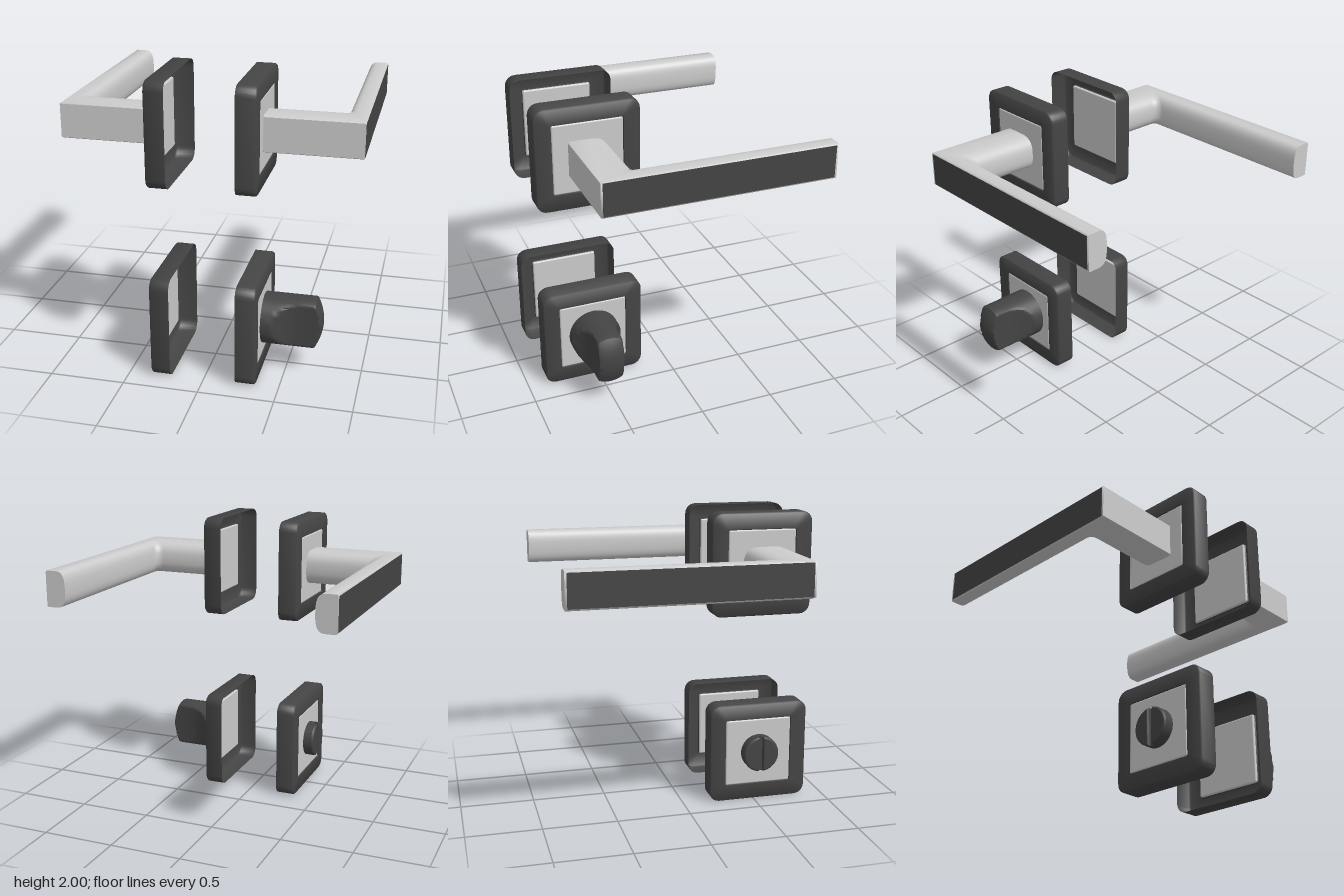
import * as THREE from 'three';
import { toCreasedNormals } from 'three/addons/utils/BufferGeometryUtils.js';
import { RoundedBoxGeometry } from 'three/addons/geometries/RoundedBoxGeometry.js';

const light = new THREE.MeshStandardMaterial({ color: 0xcccccc });
const dark = new THREE.MeshStandardMaterial({ color: 0x444444 });
const darkShell = new THREE.MeshStandardMaterial({ color: 0x444444, side: THREE.DoubleSide });

function mesh(name, geometry, material) {
  const m = new THREE.Mesh(geometry, material);
  m.name = name;
  return m;
}

// Skin a row of closed cross-sections, with an optional flat cap on the last one
function loft(rings, cap, crease = Math.PI / 3) {
  const n = rings[0].length;
  const pos = rings.flat(2);
  const index = [];
  for (let i = 0; i < rings.length - 1; i++) {
    for (let j = 0; j < n; j++) {
      const k = (j + 1) % n;
      const a = i * n + j, b = i * n + k, c = a + n, d = b + n;
      index.push(a, b, d, a, d, c);
    }
  }
  if (cap) {
    const last = rings[rings.length - 1];
    const centre = pos.length / 3;
    for (let c = 0; c < 3; c++) pos.push(last.reduce((s, p) => s + p[c], 0) / n);
    const base = (rings.length - 1) * n;
    for (let j = 0; j < n; j++) index.push(centre, base + j, base + (j + 1) % n);
  }
  const g = new THREE.BufferGeometry();
  g.setAttribute('position', new THREE.Float32BufferAttribute(pos, 3));
  g.setIndex(index);
  return toCreasedNormals(g, crease);
}

// Rounded square across the x axis
function squareRing(x, half, r) {
  const ring = [];
  for (let q = 0; q < 4; q++) {
    const mid = (q + 0.5) * Math.PI / 2;
    const cy = Math.sign(Math.cos(mid)) * (half - r);
    const cz = Math.sign(Math.sin(mid)) * (half - r);
    for (let i = 0; i <= 6; i++) {
      const a = (q + i / 6) * Math.PI / 2;
      ring.push([x, cy + r * Math.cos(a), cz + r * Math.sin(a)]);
    }
  }
  return ring;
}

// Hollow dark frame with a light square panel in its face
function rosette() {
  const g = new THREE.Group();
  g.name = 'rosette';
  const frame = loft([
    squareRing(0.217, 0.346, 0.07),
    squareRing(0.337, 0.346, 0.07),
    squareRing(0.347, 0.337, 0.062),
    squareRing(0.347, 0.236, 0.012),
    squareRing(0.33, 0.23, 0.01),
  ], false);
  const panel = mesh('rosettePanel', new RoundedBoxGeometry(0.025, 0.466, 0.466, 2, 0.01), light);
  panel.position.x = 0.333;
  g.add(mesh('rosetteFrame', frame, darkShell), panel);
  return g;
}

// Lever: flat outer side, rounded inner side, mitred outside corner, filleted inside corner
function lever() {
  const g = new THREE.Group();
  g.name = 'lever';
  const H = 0.118;
  const section = [[0, H - 0.008], [0, -H + 0.008], [0.06, -H]];
  for (let i = 0; i <= 16; i++) {
    const t = -Math.PI / 2 + i * Math.PI / 16;
    const s = Math.sin(t);
    section.push([
      0.5 + 0.5 * Math.pow(Math.max(0, Math.cos(t)), 0.7),
      H * Math.sign(s) * Math.pow(Math.abs(s), 0.7),
    ]);
  }
  section.push([0.06, H]);

  // Pairs of outer and inner points [x, z] along the lever
  const xo = 0.966, xi = 0.83, zo = 0.13, zi = -0.13, end = -1.41, r = 0.055;
  const stations = [[[0.335, zo], [0.335, zi]]];
  for (let i = 0; i <= 6; i++) {
    const a = i / 6 * Math.PI / 2;
    stations.push([[xo, zo], [xi - r + r * Math.sin(a), zi - r + r * Math.cos(a)]]);
  }
  stations.push([[xo, end], [xi, end]]);
  const rings = stations.map(([o, n]) => section.map(([d, h]) =>
    [o[0] + (n[0] - o[0]) * d, h, o[1] + (n[1] - o[1]) * d]));
  g.add(mesh('leverBody', loft(rings, true), light));

  const inlay = mesh('leverInlay', new THREE.BoxGeometry(0.006, 2 * H - 0.022, zo - end - 0.026), dark);
  inlay.position.set(xo - 0.001, 0, (zo + end) / 2);
  g.add(inlay);
  return g;
}

// Round knob cut down on two sides to a thumb grip, with a domed end
function thumbTurn() {
  const profile = [
    [0.335, 0.172, 0.172], [0.41, 0.172, 0.172], [0.44, 0.172, 0.15], [0.475, 0.172, 0.125],
    [0.52, 0.172, 0.102], [0.58, 0.172, 0.086], [0.68, 0.172, 0.085],
  ];
  for (const r of [0.168, 0.15, 0.12, 0.085, 0.045, 0.001]) {
    profile.push([0.74 - 0.05 * (r / 0.172) ** 2, r, 0.085]);
  }
  const rings = profile.map(([x, r, w]) => Array.from({ length: 64 }, (_, i) => {
    const a = i / 64 * Math.PI * 2;
    return [x, r * Math.cos(a), THREE.MathUtils.clamp(r * Math.sin(a), -w, w)];
  }));
  return mesh('thumbTurn', loft(rings, true, 0.6), dark);
}

// Low round release with a slot for a coin
function slottedRelease() {
  const g = new THREE.Group();
  g.name = 'slottedRelease';
  const base = mesh('releaseBase', new THREE.CylinderGeometry(0.125, 0.125, 0.05, 48), dark);
  base.rotation.z = -Math.PI / 2;
  base.position.x = 0.365;
  g.add(base);
  const bevel = 0.014, r = 0.125 - bevel;
  const a = Math.acos((0.012 + bevel) / r);
  const half = new THREE.Shape().absarc(0, 0, r, -a, a, false);
  const geometry = new THREE.ExtrudeGeometry(half, {
    depth: 0.03, bevelSize: bevel, bevelThickness: bevel, bevelSegments: 3, curveSegments: 32,
  });
  geometry.rotateY(Math.PI / 2);
  for (const turn of [0, Math.PI]) {
    const part = mesh('releaseHalf', geometry, dark);
    part.position.x = 0.376;
    part.rotation.x = turn;
    g.add(part);
  }
  return g;
}

export function createModel() {
  const model = new THREE.Group();
  model.name = 'doorHandleSet';
  // Every part is symmetric in height, so half a turn about z gives the other side
  for (const side of ['left', 'right']) {
    const turn = side === 'left' ? 0 : Math.PI;
    const upper = new THREE.Group();
    upper.name = side + 'HandleSet';
    upper.position.set(0, 1.655, 0.53);
    upper.rotation.z = turn;
    upper.add(rosette(), lever());

    const lower = new THREE.Group();
    lower.name = side + 'LockSet';
    lower.position.set(0, 0.346, 0.53);
    lower.rotation.z = turn;
    lower.add(rosette(), side === 'left' ? thumbTurn() : slottedRelease());
    model.add(upper, lower);
  }
  return model;
}
